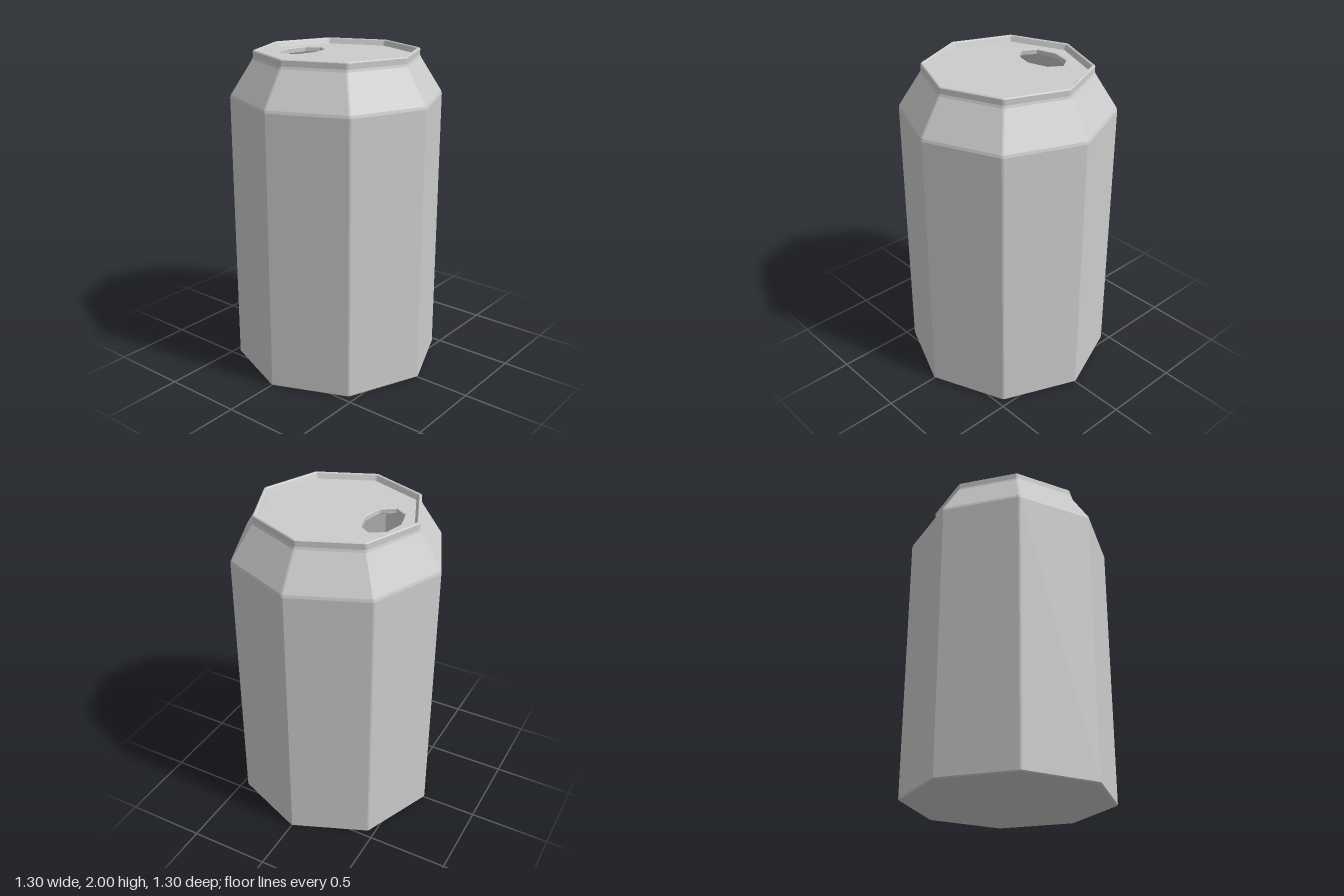
import * as THREE from 'three';

const SIDES = 8;
const LID_TOP = 1.965;
const LID_THICKNESS = 0.035;
const CHAMFER = 0.006;

// Lathe with eight flat sides whose upright corners are slightly chamfered.
function octagonalLathe(points) {
  const profile = points.map(([r, y]) => new THREE.Vector2(r, y));
  const geometry = new THREE.LatheGeometry(profile, SIDES * 2);
  const position = geometry.attributes.position;
  for (let i = 0; i < position.count; i++) {
    const step = Math.floor(i / profile.length);
    const r = profile[i % profile.length].x;
    const corner = (Math.floor(step / 2) * Math.PI * 2) / SIDES;
    const side = step % 2 ? 1 : -1;
    // Slide from the sharp corner along the adjoining edge.
    const c = Math.min(CHAMFER, r * 0.1);
    const radial = r - c * Math.sin(Math.PI / SIDES);
    const across = side * c * Math.cos(Math.PI / SIDES);
    position.setX(i, Math.sin(corner) * radial + Math.cos(corner) * across);
    position.setZ(i, Math.cos(corner) * radial - Math.sin(corner) * across);
  }
  return geometry;
}

// Octagon stretched to the given half-widths.
function octagonPoints(rx, ry, cx = 0, cy = 0) {
  return Array.from({ length: SIDES }, (_, i) => {
    const a = (i * Math.PI * 2) / SIDES;
    return new THREE.Vector2(cx + rx * Math.cos(a), cy + ry * Math.sin(a));
  });
}

export function createModel() {
  const group = new THREE.Group();
  group.name = 'drinkCan';
  const material = new THREE.MeshStandardMaterial({
    color: 0xcccccc, flatShading: true, side: THREE.DoubleSide,
  });
  const add = (name, geometry) => {
    const mesh = new THREE.Mesh(geometry, material);
    mesh.name = name;
    group.add(mesh);
    return mesh;
  };

  // Hollow shell: base, walls, sloping shoulder and short neck
  add('canBody', octagonalLathe([
    [0, 0], [0.645, 0], [0.652, 0.008],
    [0.652, 1.718], [0.647, 1.735],
    [0.513, 1.945], [0.508, 1.96],
  ]));

  // Raised rim around the recessed lid
  add('rim', octagonalLathe([
    [0.508, 1.96], [0.508, 1.994], [0.502, 2],
    [0.492, 2], [0.487, 1.995], [0.474, LID_TOP],
  ]));

  // Lid plate with a bevelled drinking hole near the back
  const bevel = 0.004;
  const plate = new THREE.Shape(octagonPoints(0.482, 0.482));
  plate.holes.push(new THREE.Path(octagonPoints(0.176, 0.111, 0, 0.281)));
  const lidGeometry = new THREE.ExtrudeGeometry(plate, {
    depth: LID_THICKNESS - 2 * bevel,
    bevelEnabled: true, bevelSegments: 1,
    bevelSize: bevel, bevelThickness: bevel, bevelOffset: -bevel,
  });
  lidGeometry.rotateX(-Math.PI / 2);
  add('lid', lidGeometry).position.y = LID_TOP - LID_THICKNESS + bevel;

  return group;
}
